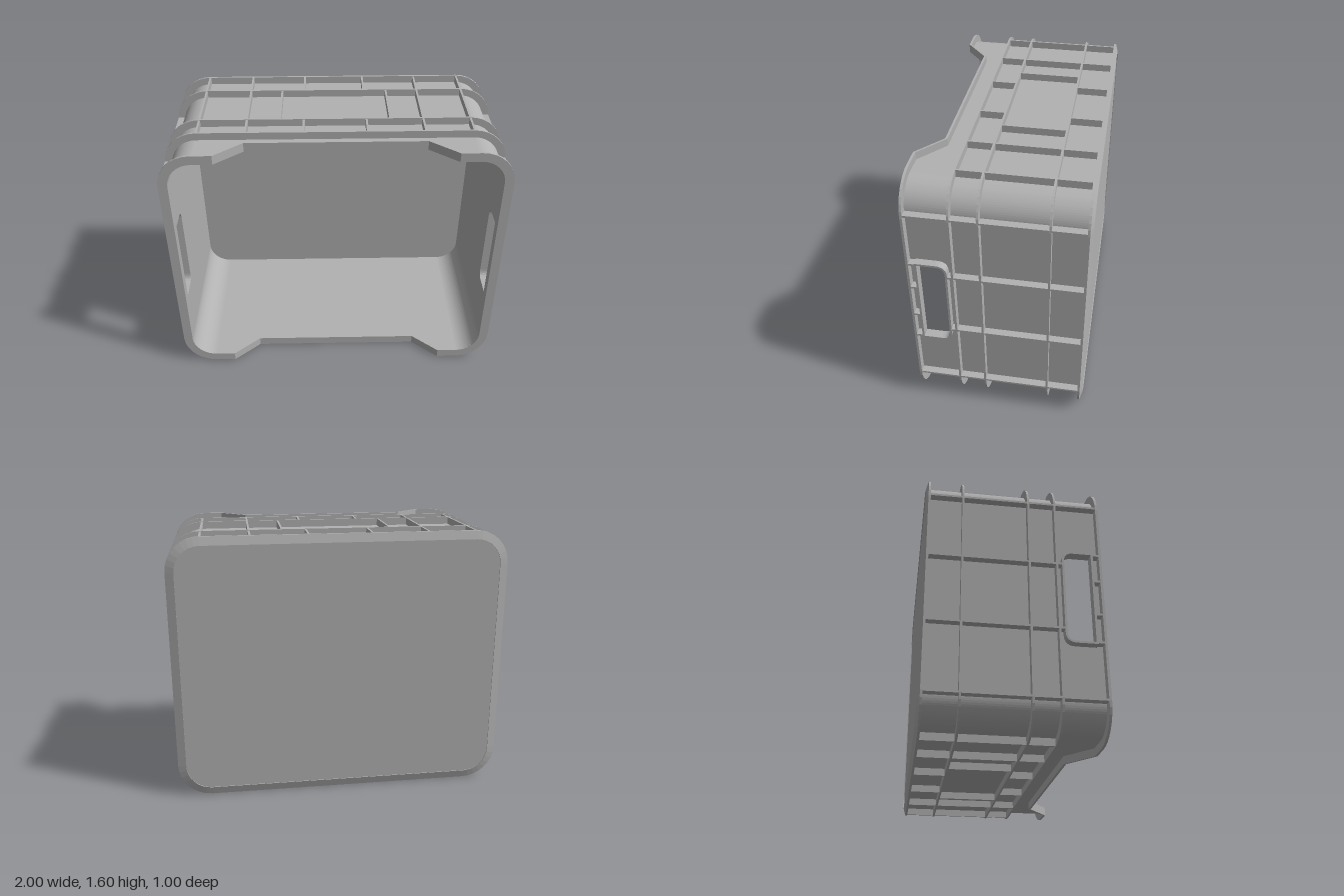
import * as THREE from 'three';

const H = 1.6, R = 0.2, CX = 0.8, CY = 0.6;   // height, corner radius, corner centres
const BACK = -0.48, T = 0.012;                // rear flange position, rib thickness
const WALL_IN = 0.055, WALL_OUT = 0.045;      // wall faces, measured inward from the outer edge

// Front edge of the crate: lowered in the middle of the two long walls
const frontZ = (x) => (Math.abs(x) < 0.6 ? 0.365 : 0.5);

// Stations round the outline, anticlockwise: [centre x, centre y, normal x, normal y]
function outline() {
  const out = [];
  [[CX, CY], [-CX, CY], [-CX, -CY], [CX, -CY]].forEach(([x, y], k) => {
    for (let i = 0; i <= 8; i++) {
      const a = (k + i / 8) * Math.PI / 2;
      out.push([x, y, Math.cos(a), Math.sin(a)]);
    }
    const s = 1 - k;                          // notch corners after corners 0 and 2
    if (k % 2 === 0) for (const nx of [0.68, 0.52, -0.52, -0.68]) out.push([nx * s, s * CY, 0, s]);
  });
  return out;
}

// Closed band: sweeps a section of [inset, z] points round the outline
function band(section, zAt = () => 0) {
  const st = outline(), n = st.length, m = section.length, pos = [], idx = [];
  for (const [x, y, nx, ny] of st)
    for (const [inset, z] of section)
      pos.push(x + nx * (R - inset), y + ny * (R - inset) + H / 2, z + zAt(x));
  for (let i = 0; i < n; i++)
    for (let j = 0; j < m; j++) {
      const i2 = (i + 1) % n, j2 = (j + 1) % m;
      const a = i * m + j, b = i2 * m + j, c = i2 * m + j2, d = i * m + j2;
      idx.push(a, b, c, a, c, d);
    }
  let g = new THREE.BufferGeometry();
  g.setAttribute('position', new THREE.Float32BufferAttribute(pos, 3));
  g.setIndex(idx);
  g = g.toNonIndexed();
  g.computeVertexNormals();
  return g;
}

// Handle opening in (z, y), grown by e; rounded on its rear side
function handlePath(Type, e) {
  const p = new Type(), z0 = 0.285 - e, z1 = 0.44 + e, y0 = 0.53 - e, y1 = 1.08 + e, r = 0.05 + e;
  p.moveTo(z1, y0);
  p.lineTo(z1, y1);
  p.lineTo(z0 + r, y1);
  p.quadraticCurveTo(z0, y1, z0, y1 - r);
  p.lineTo(z0, y0 + r);
  p.quadraticCurveTo(z0, y0, z0 + r, y0);
  p.closePath();
  return p;
}

const extrude = (shape, depth) =>
  new THREE.ExtrudeGeometry(shape, { depth, bevelEnabled: false, curveSegments: 6 });

export function createModel() {
  const crate = new THREE.Group();
  crate.name = 'crate';
  const plastic = new THREE.MeshStandardMaterial({ color: 0xb2b2b2 });
  plastic.name = 'grey plastic';

  const add = (name, geo, parent = crate) => {
    const mesh = new THREE.Mesh(geo, plastic);
    mesh.name = name;
    parent.add(mesh);
    return mesh;
  };
  const box = (name, x, y, z, w, h, d) =>
    add(name, new THREE.BoxGeometry(w, h, d)).position.set(x, y, z);

  const thick = WALL_IN - WALL_OUT;

  // Long walls with the lowered front edge
  const longShape = new THREE.Shape([
    [-CX, BACK], [CX, BACK], [CX, 0.49], [0.68, 0.49], [0.52, 0.36],
    [-0.52, 0.36], [-0.68, 0.49], [-CX, 0.49],
  ].map(([x, z]) => new THREE.Vector2(x, z)));
  for (const y of [H - WALL_OUT, WALL_IN])
    add('longWall', extrude(longShape, thick).rotateX(Math.PI / 2)).position.y = y;

  // Side walls with handle openings, each framed by a raised lip
  const sideShape = new THREE.Shape([
    [BACK, 0.2], [0.49, 0.2], [0.49, 1.4], [BACK, 1.4],
  ].map(([z, y]) => new THREE.Vector2(z, y)));
  sideShape.holes.push(handlePath(THREE.Path, 0));
  const lipShape = handlePath(THREE.Shape, T);
  lipShape.holes.push(handlePath(THREE.Path, 0));
  for (const s of [1, -1]) {
    const wall = add('sideWall', extrude(sideShape, thick).rotateY(-Math.PI / 2));
    wall.position.x = s > 0 ? 1 - WALL_OUT : -1 + WALL_IN;
    const lip = add('handleLip', extrude(lipShape, WALL_IN).rotateY(-Math.PI / 2));
    lip.position.x = s > 0 ? 1 : -1 + WALL_IN;
  }

  // Rounded corner walls
  for (let k = 0; k < 4; k++) {
    const a = k * Math.PI / 2, b = a + Math.PI / 2;
    const arc = new THREE.Shape();
    arc.absarc(0, 0, R - WALL_OUT, a, b, false);
    arc.absarc(0, 0, R - WALL_IN, b, a, true);
    const geo = new THREE.ExtrudeGeometry(arc, { depth: 0.49 - BACK, bevelEnabled: false, curveSegments: 10 });
    add('cornerWall', geo).position.set(
      k === 0 || k === 3 ? CX : -CX, H / 2 + (k < 2 ? CY : -CY), BACK);
  }

  // Base panel closing the rear
  const base = new THREE.Shape();
  [[CX, CY], [-CX, CY], [-CX, -CY], [CX, -CY]].forEach(([x, y], k) =>
    base.absarc(x, y, R - WALL_OUT, k * Math.PI / 2, (k + 1) * Math.PI / 2, false));
  add('basePanel', extrude(base, 0.014)).position.set(0, H / 2, -0.495);

  // Rim round the opening, hoops round the body, sloped flange round the base
  add('rim', band([[0, -0.014], [0, 0], [WALL_IN, 0], [WALL_IN, -0.014]], frontZ));
  for (const z of [0.245, 0.09, -0.285])
    add('hoop', band([[0, z - T / 2], [0, z + T / 2], [0.05, z + T / 2], [0.05, z - T / 2]]));
  add('baseFlange', band([[0, -0.485], [0, -0.472], [0.05, -0.472], [0.05, -0.5]]));

  // Ribs on the long walls, staggered between the hoops
  const ribD = 0.046;
  const bays = [
    [0.245, 0.09, [0.185, 0.52, CX]],
    [0.09, -0.285, [0.325, 0.52, CX]],
    [-0.285, BACK, [0.185, 0.52, CX]],
  ];
  for (const [z1, z0, xs] of bays)
    for (const x of xs)
      for (const s of [1, -1])
        for (const y of [ribD / 2 + 0.002, H - ribD / 2 - 0.002])
          box('longWallRib', s * x, y, (z0 + z1) / 2, T, ribD, z1 - z0);

  // Ribs on the side walls and short ribs between handle and rim
  for (const s of [1, -1]) {
    const x = s * (1 - ribD / 2 - 0.002);
    for (const [y, z1] of [[0.2, 0.49], [0.605, 0.28], [1.01, 0.28], [1.41, 0.49]])
      box('sideWallRib', x, y, (z1 + BACK) / 2, ribD, T, z1 - BACK);
    for (const y of [0.53, 0.7, 0.91, 1.08])
      box('handleRib', x, y, 0.468, ribD, T, 0.044);
  }
  return crate;
}
